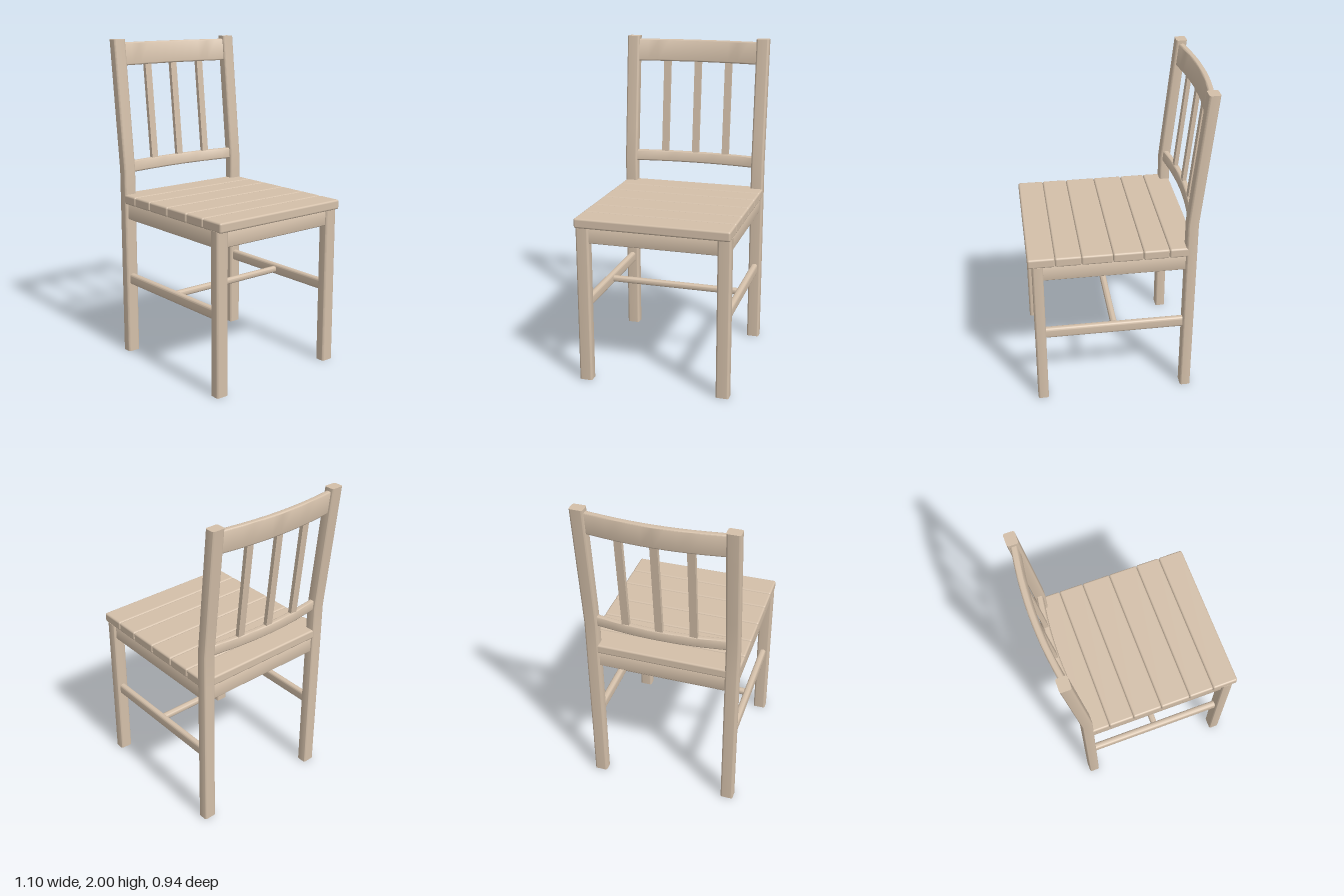
import * as THREE from 'three';
import { toCreasedNormals } from 'three/addons/utils/BufferGeometryUtils.js';
import { RoundedBoxGeometry } from 'three/addons/geometries/RoundedBoxGeometry.js';

const wood = new THREE.MeshStandardMaterial({ color: 0xd3bfa9 });
wood.name = 'paleWood';

const BEND = 1.2;        // height where the back starts to lean
const BACK_X = -0.4225;  // centre line of the back legs
const LEG_Z = 0.43;
const leanAt = (y) => -0.1 * Math.max(0, y - BEND);
const bowAt = (z) => -0.033 * Math.max(0, 1 - (z / 0.39) ** 2);

// Bar with softened long edges, running along z and centred on the origin
function bar(w, h, length, r, steps = 1) {
  const a = w / 2, b = h / 2;
  const s = new THREE.Shape();
  s.moveTo(-a + r, -b);
  s.lineTo(a - r, -b);
  s.absarc(a - r, -b + r, r, -Math.PI / 2, 0);
  s.lineTo(a, b - r);
  s.absarc(a - r, b - r, r, 0, Math.PI / 2);
  s.lineTo(-a + r, b);
  s.absarc(-a + r, b - r, r, Math.PI / 2, Math.PI);
  s.lineTo(-a, -b + r);
  s.absarc(-a + r, -b + r, r, Math.PI, Math.PI * 1.5);
  const g = new THREE.ExtrudeGeometry(s, { depth: length, steps, bevelEnabled: false, curveSegments: 3 });
  return g.translate(0, 0, -length / 2);
}

// Shift vertices in x by a rule of their position
function shiftX(g, rule) {
  const p = g.attributes.position;
  for (let i = 0; i < p.count; i++) p.setX(i, p.getX(i) + rule(p.getY(i), p.getZ(i)));
  return g;
}

export function createModel() {
  const chair = new THREE.Group();
  chair.name = 'chair';
  const add = (name, g) => {
    const mesh = new THREE.Mesh(toCreasedNormals(g, 0.7), wood);
    mesh.name = name;
    chair.add(mesh);
  };

  // Legs, side aprons and side stretchers, mirrored
  for (const side of [-1, 1]) {
    const z = side * LEG_Z;
    const label = side > 0 ? 'Near' : 'Far';
    const post = bar(0.065, 0.08, 2, 0.012, 10).rotateX(-Math.PI / 2).translate(BACK_X, 1, z);
    add('backPost' + label, shiftX(post, leanAt));
    add('frontLeg' + label, bar(0.065, 0.08, 0.99, 0.012).rotateX(-Math.PI / 2).translate(0.4875, 0.495, z));
    add('sideApron' + label, bar(0.045, 0.105, 0.88, 0.008).rotateY(Math.PI / 2).translate(0.0325, 0.9375, z));
    add('sideStretcher' + label, bar(0.04, 0.07, 0.88, 0.016).rotateY(Math.PI / 2).translate(0.0325, 0.49, z));
  }

  // Aprons and stretcher running across
  add('frontApron', bar(0.04, 0.105, 0.8, 0.008).translate(0.4875, 0.9375, 0));
  add('backApron', bar(0.04, 0.105, 0.8, 0.008).translate(BACK_X, 0.9375, 0));
  add('crossStretcher', bar(0.04, 0.04, 0.86, 0.016).translate(0.0325, 0.49, 0));

  // Seat planks
  const cuts = [-0.453, -0.29, -0.135, 0.045, 0.23, 0.385, 0.545];
  for (let i = 0; i < cuts.length - 1; i++) {
    const plank = new RoundedBoxGeometry(cuts[i + 1] - cuts[i], 0.06, 0.94, 2, 0.012);
    const mesh = new THREE.Mesh(plank, wood);
    mesh.name = 'seatPlank' + (i + 1);
    mesh.position.set((cuts[i] + cuts[i + 1]) / 2, 1.015, 0);
    chair.add(mesh);
  }

  // Bowed back rails
  const rail = (name, y0, y1) => {
    const g = bar(0.036, y1 - y0, 0.8, 0.01, 12).translate(BACK_X, (y0 + y1) / 2, 0);
    add(name, shiftX(g, (y, z) => -0.1 * (y - BEND) + bowAt(z)));
  };
  rail('topRail', 1.84, 1.98);
  rail('lowerRail', 1.18, 1.25);

  // Back slats
  for (const z of [-0.205, 0, 0.205]) {
    const g = new THREE.BoxGeometry(0.025, 0.62, 0.045).translate(BACK_X + bowAt(z), 1.545, z);
    add('backSlat', shiftX(g, leanAt));
  }
  return chair;
}
